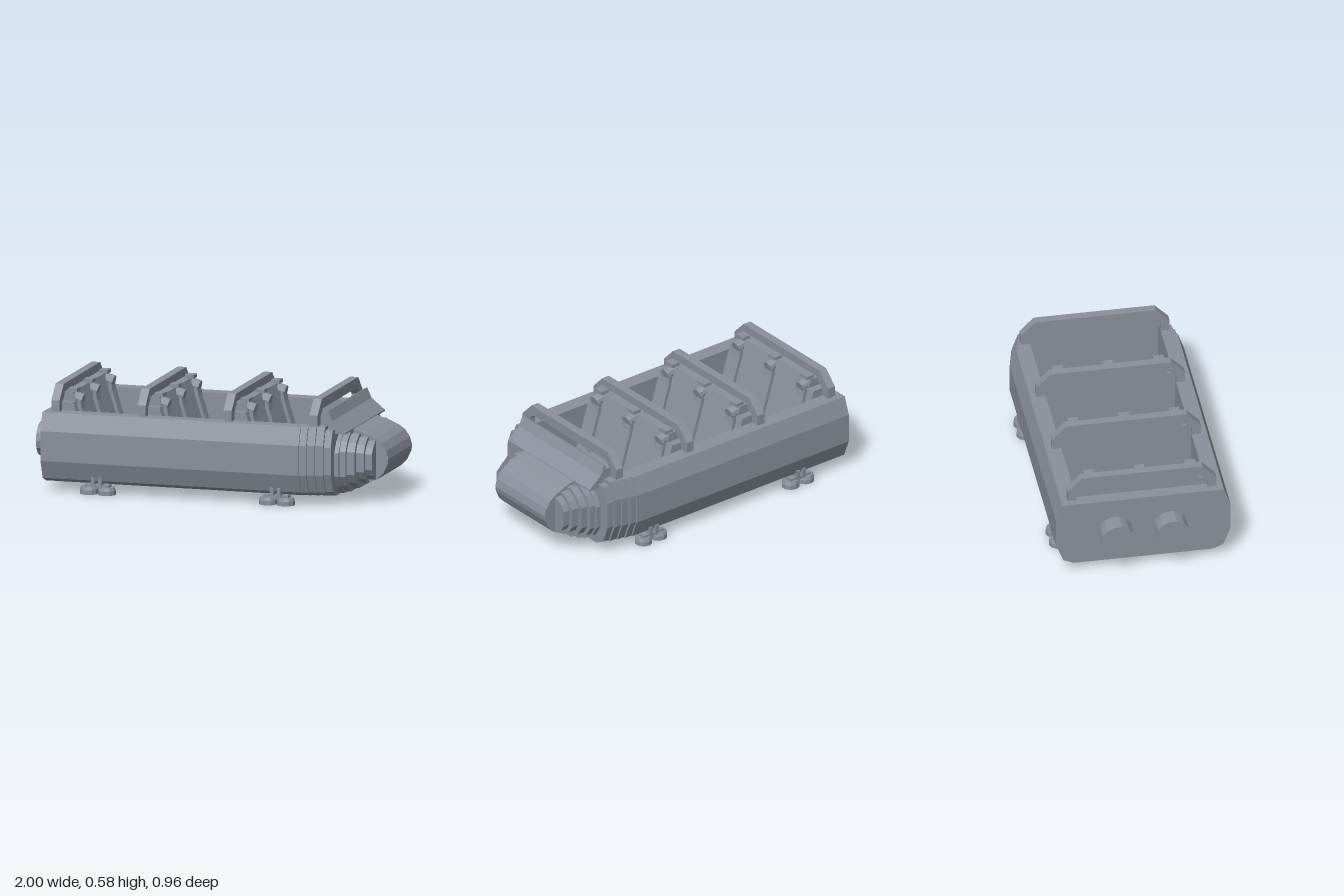
import * as THREE from 'three';

export function createModel() {
  const root = new THREE.Group();
  const metal = new THREE.MeshStandardMaterial({ color: 0x8a8f9b, flatShading: true });
  metal.name = 'greyMetal';

  const add = (name, geo, x = 0, y = 0, z = 0, parent = root) => {
    const m = new THREE.Mesh(geo, metal);
    m.name = name;
    m.position.set(x, y, z);
    parent.add(m);
    return m;
  };
  const shapeOf = pts => new THREE.Shape(pts.map(p => new THREE.Vector2(p[0], p[1])));
  // Cross-section (z, y) pushed along x
  const alongX = (pts, x0, x1) => new THREE.ExtrudeGeometry(shapeOf(pts), { depth: x1 - x0, bevelEnabled: false })
    .rotateY(Math.PI / 2).translate(x0, 0, 0);
  // Side profile (x, y) pushed along z
  const alongZ = (pts, z0, z1) => new THREE.ExtrudeGeometry(shapeOf(pts), { depth: z1 - z0, bevelEnabled: false })
    .translate(0, 0, z0);
  // Half outline mirrored into a closed symmetric outline
  const mirror = half => [...half, ...half.slice().reverse().map(([z, y]) => [-z, y])];
  const box = (x, y, z) => new THREE.BoxGeometry(x, y, z);

  // Hull: open trough with bulging sides
  const trough = (w, inner = 0.36) => mirror([
    [w - 0.1, 0.05], [w - 0.04, 0.075], [w, 0.175], [w, 0.34], [w - 0.035, 0.44],
    [inner, 0.44], [inner, 0.12]
  ]);
  add('hull', alongX(trough(0.481), -0.9, 0.57));
  add('rearWall', box(0.07, 0.34, 0.74), -0.864, 0.269, 0);
  [[0.57, 0.61, 0.472], [0.61, 0.655, 0.46], [0.655, 0.7, 0.449]].forEach(([a, b, w], i) =>
    add('frontHullStep' + (i + 1), alongX(trough(w), a, b)));

  // Stepped front, shrinking towards the nose
  add('frontBulkhead', alongX(mirror([[0.34, 0.05], [0.4, 0.08], [0.437, 0.18], [0.437, 0.33], [0.405, 0.42]]), 0.7, 0.74));
  const steps = [
    [0.74, 0.765, 0.375, 0.052, 0.4], [0.765, 0.8, 0.36, 0.062, 0.395],
    [0.8, 0.845, 0.338, 0.082, 0.38], [0.845, 0.89, 0.315, 0.108, 0.362], [0.89, 0.93, 0.293, 0.13, 0.342]
  ];
  steps.forEach(([a, b, w, lo, hi], i) => {
    const c = 0.11 - i * 0.012;
    add('noseStep' + (i + 1), alongX(mirror([
      [w - c, lo], [w - c * 0.35, lo + c * 0.45], [w, lo + c], [w, hi - c], [w - c * 0.35, hi - c * 0.45], [w - c, hi]
    ]), a, b));
  });

  // Rounded nose and the wide cowl above it
  add('nose', alongZ([
    [0.72, 0.11], [0.89, 0.11], [0.935, 0.128], [0.972, 0.165], [0.995, 0.215], [1, 0.245],
    [0.988, 0.29], [0.96, 0.33], [0.925, 0.355], [0.87, 0.378], [0.8, 0.4], [0.72, 0.46]
  ], -0.217, 0.217));
  add('cowl', alongZ([
    [0.7, 0.12], [0.715, 0.12], [0.715, 0.395], [0.8, 0.395], [0.8, 0.403], [0.725, 0.465],
    [0.7, 0.52], [0.685, 0.515], [0.7, 0.47]
  ], -0.358, 0.358));

  // Chamfered hoops over the cockpit
  const hoop = [
    ...mirror([[0.41, 0.43], [0.41, 0.5], [0.333, 0.58]]),
    ...mirror([[0.362, 0.43], [0.362, 0.482], [0.315, 0.525]]).reverse()
  ];
  const hoopXs = [-0.86, -0.37, 0.12, 0.61];
  hoopXs.forEach(x => add('hoop', alongX(hoop, x, x + 0.047)));

  // Seat rows
  const backrest = alongZ([[-0.83, 0.11], [-0.63, 0.11], [-0.735, 0.44], [-0.765, 0.535], [-0.83, 0.535]], -0.318, 0.318);
  const backrestWing = alongZ([[-0.83, 0.11], [-0.63, 0.11], [-0.735, 0.44], [-0.75, 0.485], [-0.83, 0.485]], -0.361, 0.361);
  const rib = alongZ([[-0.74, 0.49], [-0.725, 0.49], [-0.715, 0.44], [-0.645, 0.21], [-0.645, 0.13], [-0.74, 0.13]], -0.035, 0.035);
  for (let i = 0; i < 3; i++) {
    const row = new THREE.Group();
    row.name = 'seatRow' + (i + 1);
    row.position.x = i * 0.49;
    root.add(row);
    add('backrest', backrest, 0, 0, 0, row);
    add('backrestWing', backrestWing, 0, 0, 0, row);
    for (const z of [-0.28, 0, 0.28]) {
      add('backrestRib', rib, 0, 0, z, row);
      const knob = add('restraintPivot', new THREE.CylinderGeometry(0.033, 0.033, 0.05, 10), -0.742, 0.495, z, row);
      knob.rotation.z = Math.PI / 2 - 0.25;
      add('pivotBlock', box(0.05, 0.02, 0.06), -0.77, 0.543, z, row);
    }
    for (const z of [-0.165, 0.165]) add('seatCushion', box(0.21, 0.1, 0.25), -0.575, 0.165, z, row);
  }

  // Twin rear couplers
  for (const z of [-0.155, 0.15]) {
    const c = add('rearCoupler', new THREE.CylinderGeometry(0.094, 0.094, 0.12, 14), -0.94, 0.238, z);
    c.rotation.z = Math.PI / 2;
  }

  // Wheel bogies at the four corners
  for (const x of [-0.59, 0.43]) for (const s of [-1, 1]) {
    const g = new THREE.Group();
    g.name = 'bogie';
    g.position.set(x, 0, s * 0.427);
    root.add(g);
    for (const d of [-0.051, 0.051]) {
      add('wheel', new THREE.CylinderGeometry(0.049, 0.049, 0.024, 10), d, 0.012, 0, g);
      add('wheelCap', new THREE.CylinderGeometry(0.042, 0.049, 0.018, 10), d, 0.033, 0, g);
      add('wheelStrut', box(0.02, 0.06, 0.05), d * 0.4, 0.065, s * 0.006, g);
    }
    add('axleBeam', box(0.14, 0.02, 0.05), 0, 0.045, 0, g);
  }
  return root;
}
